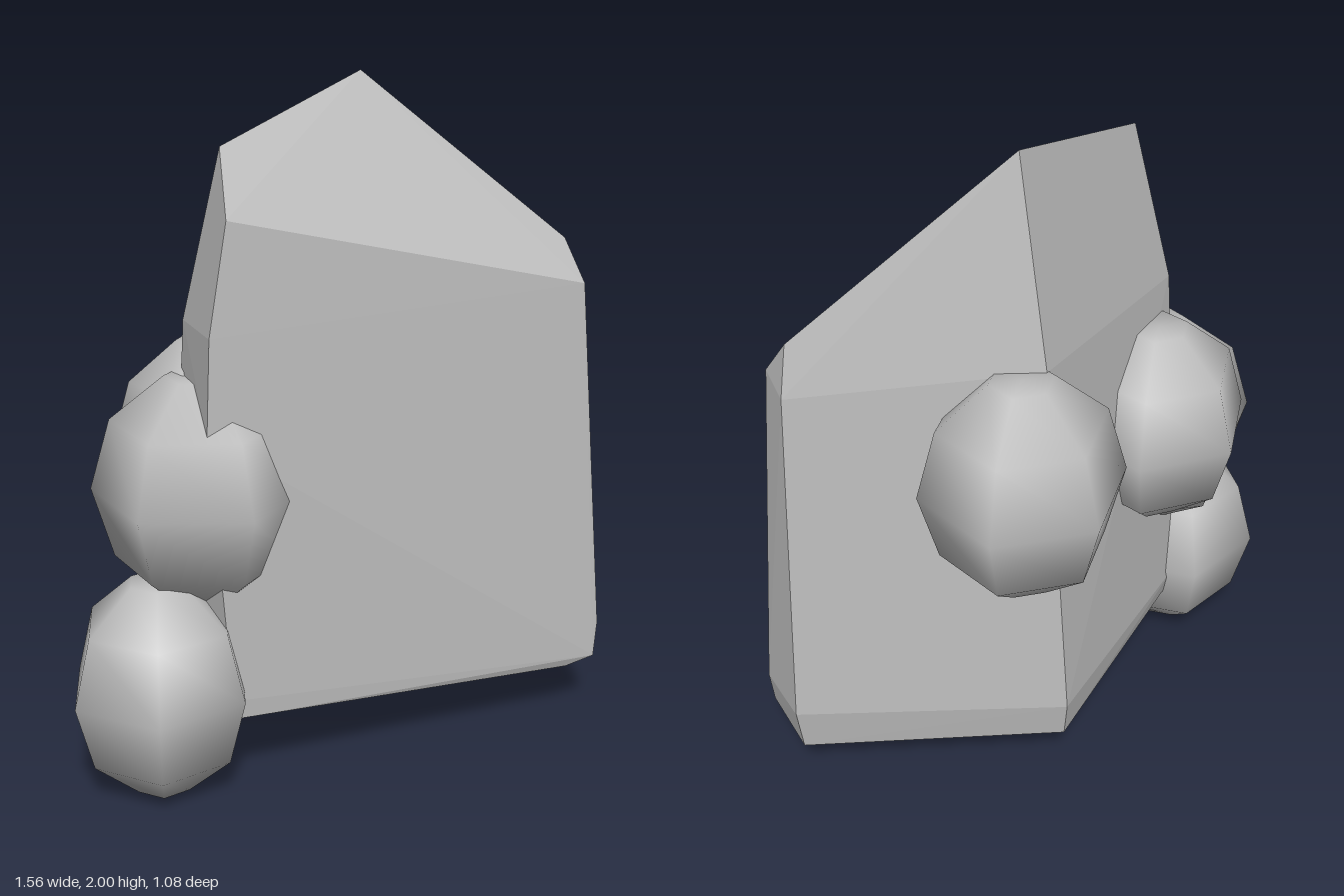
import * as THREE from 'three';
import { ConvexGeometry } from 'three/addons/geometries/ConvexGeometry.js';

export function createModel() {
  const group = new THREE.Group();
  const stone = new THREE.MeshStandardMaterial({ color: 0xbcbcbc });
  stone.name = 'stone grey';

  // Faceted slab: hull of its corners, listed ring by ring
  const corners = [
    // slanted top
    [-0.29, 1.85, -0.14], [0.27, 2.0, -0.1], [0.655, 1.51, 0.37], [0.63, 1.39, 0.46], [-0.39, 1.68, -0.03],
    // shoulder
    [-0.455, 1.37, -0.04], [-0.35, 1.37, -0.235], [0.325, 1.42, -0.21], [0.69, 1.36, 0.37],
    [-0.477, 1.1, -0.035],
    // widest ring near the foot
    [-0.43, 0.3, 0.0], [-0.37, 0.3, -0.3], [0.36, 0.3, -0.3], [0.772, 0.3, 0.37], [0.675, 0.3, 0.54],
    // underside
    [-0.415, 0.24, 0.005], [-0.36, 0.23, -0.285], [0.35, 0.18, -0.285],
    [0.75, 0.155, 0.37], [0.66, 0.19, 0.54], [0.58, 0.168, 0.49],
  ];
  const slab = new THREE.Mesh(new ConvexGeometry(corners.map((c) => new THREE.Vector3(...c))), stone);
  slab.name = 'slab';
  group.add(slab);

  // Six-sided smooth lump with flattened ends; the unit profile is half a decagon
  const profile = [new THREE.Vector2(0, -1)];
  for (let a = -72; a <= 72; a += 36) {
    const t = THREE.MathUtils.degToRad(a);
    profile.push(new THREE.Vector2(Math.cos(t), Math.sin(t) / Math.sin(Math.PI * 0.4)));
  }
  profile.push(new THREE.Vector2(0, 1));
  const lumpGeometry = new THREE.LatheGeometry(profile, 6);

  // name, centre, radius, half height, direction (x, z) of one corner
  const lumps = [
    ['lowerLump', [-0.52, 0.325, -0.2], 0.275, 0.325, [-0.26, -0.075]],
    ['sideLump', [-0.34, 0.88, -0.19], 0.315, 0.335, [-0.315, 0.055]],
    ['backLump', [-0.22, 0.97, -0.27], 0.278, 0.31, [0.06, -0.275]],
    ['upperLump', [0.385, 1.09, -0.17], 0.288, 0.33, [0.195, 0.21]],
  ];
  for (const [name, centre, radius, halfHeight, dir] of lumps) {
    const lump = new THREE.Mesh(lumpGeometry, stone);
    lump.name = name;
    lump.position.set(...centre);
    lump.scale.set(radius, halfHeight, radius);
    lump.rotation.y = Math.atan2(dir[0], dir[1]);
    group.add(lump);
  }
  return group;
}
